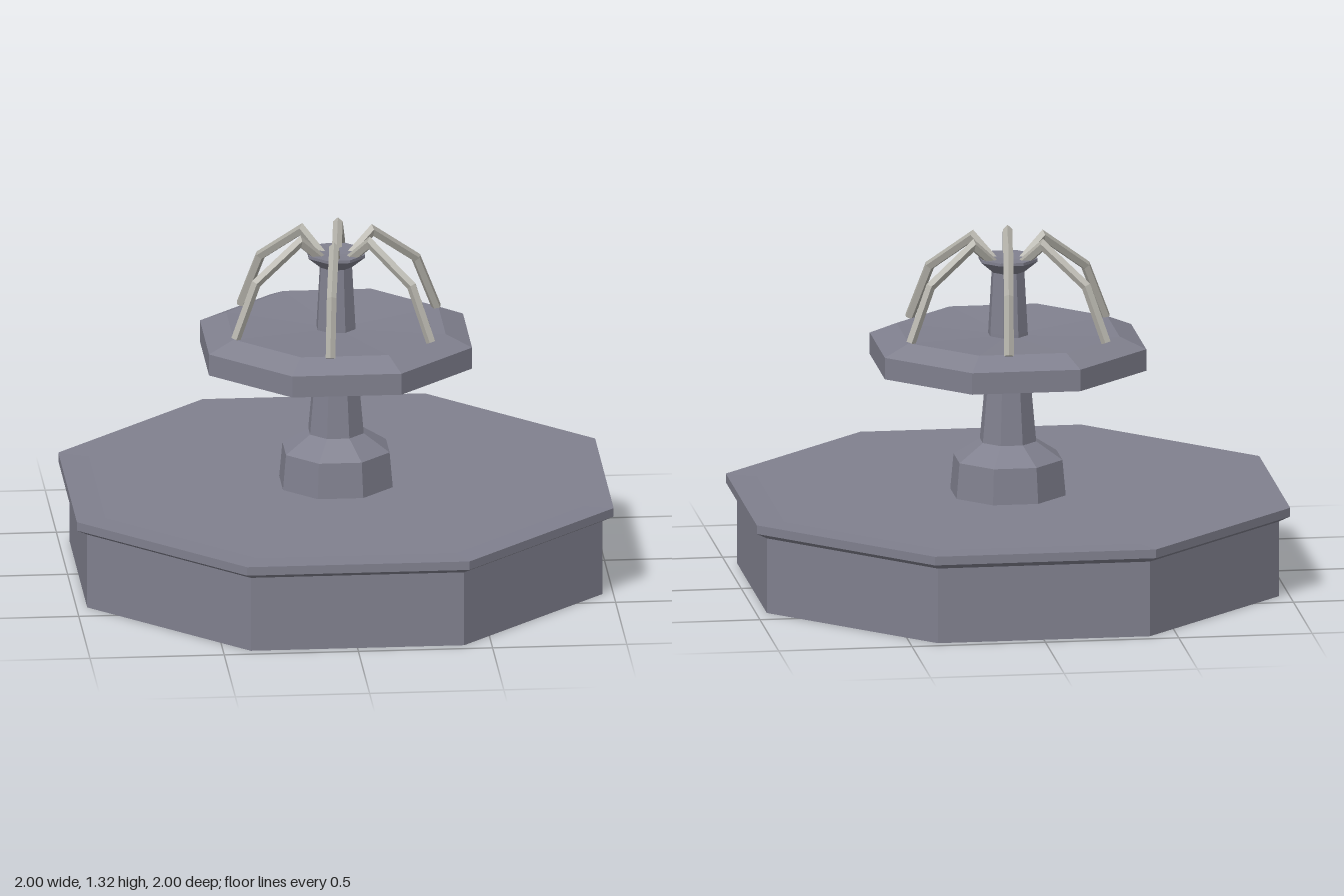
import * as THREE from 'three';

const stone = new THREE.MeshStandardMaterial({ color: 0x80808e, flatShading: true });
const metal = new THREE.MeshStandardMaterial({ color: 0xb0aea6, flatShading: true });

// Eight-sided turned part; profile is [distance to flat side, height], bottom to top
function octagon(name, profile) {
  const points = profile.map(([r, y]) => new THREE.Vector2(r / Math.cos(Math.PI / 8), y));
  const geometry = new THREE.LatheGeometry(points, 8, Math.PI / 8).toNonIndexed();
  geometry.computeVertexNormals();
  const mesh = new THREE.Mesh(geometry, stone);
  mesh.name = name;
  return mesh;
}

// Bent rod along a path in the xy plane, with mitred joints
function bentRod(path, radius, sides) {
  const points = path.map(([x, y]) => new THREE.Vector2(x, y));
  const last = points.length - 1;
  const geometry = new THREE.CylinderGeometry(radius, radius, 1, sides, last);
  const pos = geometry.attributes.position;
  const direction = (i) => points[i + 1].clone().sub(points[i]).normalize();
  for (let i = 0; i < pos.count; i++) {
    const k = Math.round((0.5 - pos.getY(i)) * last);
    const before = direction(Math.max(k - 1, 0));
    const after = direction(Math.min(k, last - 1));
    const tangent = before.clone().add(after).normalize();
    const offset = pos.getZ(i) / tangent.dot(after);
    pos.setXYZ(i, points[k].x - tangent.y * offset, points[k].y + tangent.x * offset, -pos.getX(i));
  }
  geometry.computeVertexNormals();
  return geometry;
}

export function createModel() {
  const fountain = new THREE.Group();
  fountain.name = 'fountain';

  // Large lower basin with overhanging rim and filled top
  fountain.add(octagon('basin', [
    [0, 0], [0.96, 0], [0.96, 0.285], [1, 0.307], [1, 0.34], [0.89, 0.337], [0, 0.335],
  ]));

  // Foot and tapering shaft, ending in a flared collar
  fountain.add(octagon('pedestal', [
    [0.205, 0.33], [0.193, 0.47], [0.1, 0.535], [0.073, 0.85], [0.07, 0.95],
    [0.058, 1.18], [0.105, 1.222], [0.105, 1.233], [0, 1.225],
  ]));

  // Upper bowl with bevelled edge and shallow dished top
  fountain.add(octagon('upperBowl', [
    [0, 0.83], [0.49, 0.83], [0.49, 0.912], [0.395, 0.955], [0, 0.935],
  ]));

  // Six bent spouts arching from the collar down to the bowl
  const spout = bentRod([[0.045, 1.2], [0.15, 1.295], [0.335, 1.16], [0.42, 0.955]], 0.019, 5);
  for (let i = 0; i < 6; i++) {
    const mesh = new THREE.Mesh(spout, metal);
    mesh.name = 'spout';
    mesh.rotation.y = THREE.MathUtils.degToRad(22.5 + i * 60);
    fountain.add(mesh);
  }
  return fountain;
}
